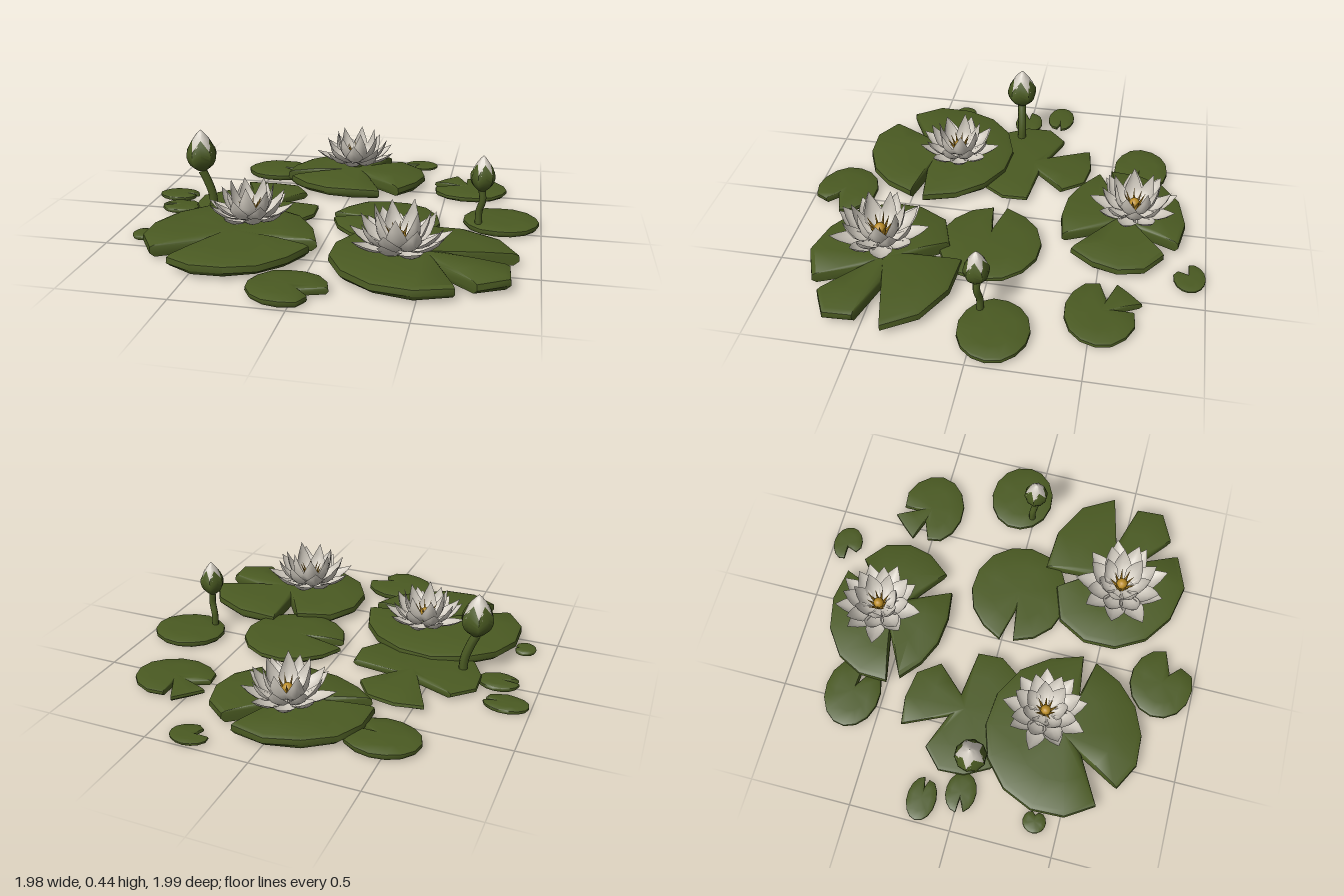
import * as THREE from 'three';
import { toCreasedNormals, mergeGeometries } from 'three/addons/utils/BufferGeometryUtils.js';

const mat = (name, color, side = THREE.FrontSide) =>
  Object.assign(new THREE.MeshStandardMaterial({ color, side }), { name });

// Surface from a rule f(i, j) -> [x, y, z]
function grid(nu, nv, f, crease = 0.7) {
  const pos = [], idx = [];
  for (let i = 0; i <= nu; i++) for (let j = 0; j <= nv; j++) pos.push(...f(i, j));
  for (let i = 0; i < nu; i++) for (let j = 0; j < nv; j++) {
    const a = i * (nv + 1) + j, b = a + nv + 1;
    idx.push(a, b, b + 1, a, b + 1, a + 1);
  }
  const g = new THREE.BufferGeometry();
  g.setAttribute('position', new THREE.Float32BufferAttribute(pos, 3));
  g.setIndex(idx);
  return toCreasedNormals(g, crease);
}

function add(parent, name, geometry, material) {
  const m = new THREE.Mesh(geometry, material);
  m.name = name;
  parent.add(m);
  return m;
}

// Outline: ellipse arcs joined by wedge notches [startX, startZ, apexX, apexZ, endX, endZ]
function padOutline(cx, cz, rx, rz, notches) {
  const pts = [], TAU = Math.PI * 2;
  const ang = (x, z) => Math.atan2((z - cz) / rz, (x - cx) / rx);
  const arc = (a0, a1) => {
    const n = Math.max(2, Math.round((a1 - a0) / 0.42));
    for (let k = 1; k < n; k++) {
      const a = a0 + (a1 - a0) * k / n;
      pts.push([cx + rx * Math.cos(a), cz + rz * Math.sin(a)]);
    }
  };
  if (!notches.length) arc(0, TAU * 1.07);
  notches.forEach((n, k) => {
    const next = notches[(k + 1) % notches.length];
    pts.push([n[0], n[1]], [n[2], n[3]], [n[4], n[5]]);
    const a0 = ang(n[4], n[5]);
    let a1 = ang(next[0], next[1]);
    while (a1 <= a0) a1 += TAU;
    arc(a0, a1);
  });
  return pts.reverse();
}

// Thick floating leaf with a rounded rim and a slight dome
function padGeometry([cx, cz, rx, rz, bottom, top, notches]) {
  const out = padOutline(cx, cz, rx, rz, notches), h = top - bottom;
  const rings = [[0, .25], [.6, .2], [.94, 0], [1, .3], [.99, .68], [.93, .8], [.6, .93], [0, 1]];
  return grid(out.length, rings.length - 1, (i, j) => {
    const [x, z] = out[i % out.length], [s, v] = rings[j];
    const wave = s > .5 ? .05 * h * Math.sin(5 * Math.atan2(z - cz, x - cx)) : 0;
    return [cx + (x - cx) * s, bottom + h * v + (v > 0 ? wave : 0), cz + (z - cz) * s];
  }, 0.9);
}

// Cupped pointed petal along a bent spine; p = [r0, y0, r1, y1, r2, y2]
function petalGeometry(p, halfWidth) {
  const widths = [.3, .72, 1, .95, .6, 0];
  const curve = new THREE.QuadraticBezierCurve(...[0, 2, 4].map(k => new THREE.Vector2(p[k], p[k + 1])));
  return grid(4, 5, (i, j) => {
    const t = j / 5, s = i / 2 - 1, c = curve.getPoint(t), d = curve.getTangent(t);
    const w = halfWidth * widths[j], cup = s * s * w * .45;
    return [c.x - d.y * cup, c.y + d.x * cup, s * w];
  }, 1.2);
}

const PADS = {
  leftFrontPad: [-.42, .42, .4, .385, .015, .088, [[0, .43, -.2, .455, -.02, .5], [-.61, .73, -.5, .53, -.72, .65]]],
  rightFrontPad: [.5, .49, .43, .365, .015, .088,
    [[.905, .395, .64, .46, .87, .53], [.74, .735, .57, .59, .655, .79], [.33, .21, .44, .37, .43, .13]]],
  backPad: [0, -.59, .375, .305, .015, .085,
    [[.15, -.865, .07, -.67, .235, -.8], [.26, -.36, .08, -.5, .165, -.305], [-.34, -.44, -.13, -.55, -.375, -.5]]],
  middlePad: [.26, .03, .26, .25, .012, .055, [[0, .06, .165, .035, -.01, -.01]]],
  leftMiddlePad: [-.41, -.08, .33, .31, .01, .05, [[-.21, -.26, -.34, -.12, -.11, -.09], [-.64, -.22, -.46, -.15, -.56, -.37]]],
  leftBackPad: [-.46, -.65, .18, .14, .005, .045, [[-.33, -.635, -.42, -.64, -.36, -.6]]],
  rightBackPad: [.62, -.54, .2, .165, .005, .04, [[.44, -.52, .54, -.56, .43, -.6], [.54, -.72, .6, -.6, .6, -.69]]],
  rightPad: [.805, -.09, .185, .163, .005, .045, []],
  frontPad: [-.035, .838, .178, .157, .005, .045, [[.14, .83, .02, .87, .07, .92]]],
  smallBackPad: [.317, -.925, .095, .075, .004, .022, [[.28, -.87, .3, -.92, .23, -.92]]],
  smallLeftPad: [-.885, -.17, .108, .072, .003, .028, [[-.78, -.18, -.83, -.17, -.79, -.155]]],
  smallBudPad: [-.81, .007, .1, .075, .005, .032, [[-.9, .04, -.84, .01, -.91, .005]]],
  tinyPad: [-.857, .383, .055, .057, 0, .024, [[-.81, .365, -.825, .38, -.81, .395]]],
};

export function createModel() {
  const root = new THREE.Group();
  root.name = 'waterLilies';
  const leaf = mat('leafGreen', 0x4a5a22);
  const white = mat('petalWhite', 0xcfc9be, THREE.DoubleSide);
  const gold = mat('stamenGold', 0xb88a22);

  for (const [name, spec] of Object.entries(PADS)) add(root, name, padGeometry(spec), leaf);

  // Open flowers: rings of [count, turn, spine, half width]
  const rings = [
    [9, 0, [.03, .012, .14, -.012, .215, .085], .05],
    [8, .35, [.025, .015, .145, .01, .175, .135], .048],
    [7, .1, [.02, .02, .115, .02, .115, .185], .045],
  ];
  const flower = (name, x, z, s, turn) => {
    const g = new THREE.Group();
    g.name = name;
    g.position.set(x, .1, z);
    g.scale.set(s, s, s);
    g.rotation.y = turn;
    root.add(g);
    const petals = [];
    for (const [n, off, spine, w] of rings) for (let k = 0; k < n; k++) {
      const p = spine.slice(), lift = .012 * Math.sin(k * 2.7 + turn);
      p[4] -= lift;
      p[5] += lift;
      petals.push(petalGeometry(p, w).rotateY(off + k * Math.PI * 2 / n));
    }
    add(g, 'petals', mergeGeometries(petals), white);
    const stamens = [];
    for (let k = 0; k < 9; k++) stamens.push(
      new THREE.ConeGeometry(.011, .1, 5).translate(0, .05, 0).rotateZ(-.42 - .12 * (k % 2))
        .translate(.012, .02, 0).rotateY(k * Math.PI * 2 / 9));
    add(g, 'stamens', mergeGeometries(stamens), gold);
    add(g, 'flowerCentre', new THREE.SphereGeometry(.027, 10, 7).translate(0, .06, 0), gold);
    add(g, 'flowerStem', new THREE.CylinderGeometry(.035, .03, .05, 10).translate(0, -.012, 0), leaf);
  };
  flower('leftFlower', -.345, .31, .96, .2);
  flower('rightFlower', .39, .53, 1.06, 1.0);
  flower('backFlower', -.015, -.635, .98, .5);

  // Closed buds on bent stems
  const budProfile = new THREE.SplineCurve([[.3, 0], [.8, .16], [1, .38], [.85, .6], [.42, .85], [0, 1]]
    .map(p => new THREE.Vector2(...p)));
  const budShell = (r, h, grow, reach) => grid(10, 8, (i, j) => {
    const p = budProfile.getPoint(j / 8 * reach(i % 10)), a = i * Math.PI / 5;
    return [Math.cos(a) * p.x * r * grow, p.y * h, -Math.sin(a) * p.x * r * grow];
  }, 0.9);
  const bud = (name, r, h, stemRadius, lean, path) => {
    const g = new THREE.Group();
    g.name = name;
    root.add(g);
    const pts = path.map(p => new THREE.Vector3(...p));
    add(g, 'budStem', new THREE.TubeGeometry(new THREE.CatmullRomCurve3(pts), 10, stemRadius, 8), leaf);
    const head = new THREE.Group();
    head.name = 'budHead';
    head.position.copy(pts[pts.length - 1]);
    head.rotation.z = lean;
    g.add(head);
    add(head, 'budPetals', budShell(r, h, 1, () => 1), white);
    add(head, 'budSepals', budShell(r, h, 1.06, i => (i % 2 ? .52 : .74)), leaf);
  };
  bud('leftBud', .073, .21, .022, 0, [[-.63, .02, .02], [-.635, .1, .02], [-.66, .18, .025], [-.682, .23, .03]]);
  bud('rightBud', .056, .175, .017, 0, [[.7, .02, -.01], [.7, .1, -.01], [.715, .16, 0], [.71, .212, 0]]);
  return root;
}
